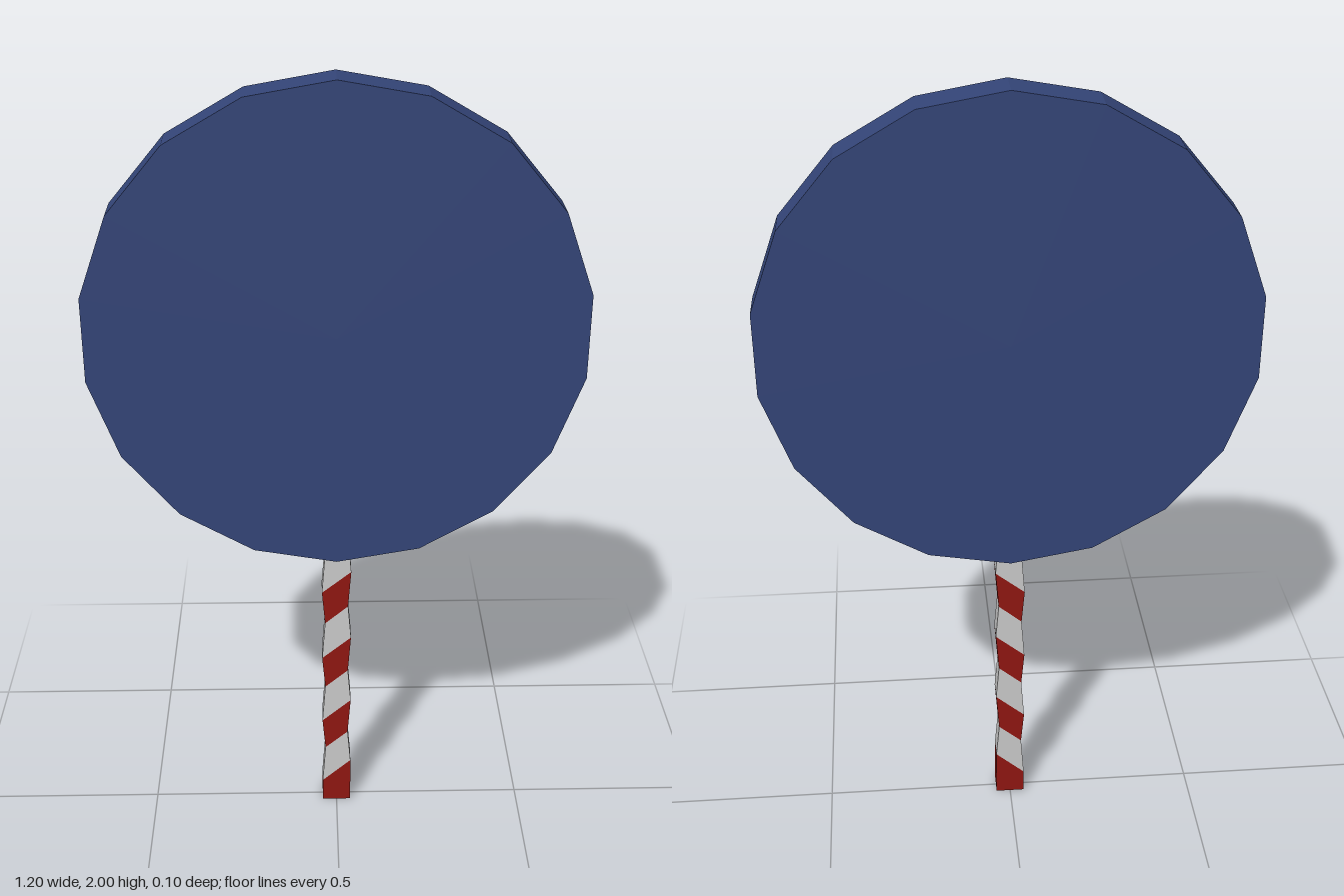
import * as THREE from 'three';

const material = (color) => new THREE.MeshStandardMaterial({ color, flatShading: true });

// Four corners of one tilted ring of the stick, counter-clockwise seen from below
function ring([leftY, rightY, w]) {
  const d = 0.028;
  return [[-w, leftY, -d], [w, rightY, -d], [w, rightY, d], [-w, leftY, d]];
}

// Walls between each pair of rings, plus an optional cap under the first
function bandGeometry(pairs, bottomCap, topCap) {
  const pos = [];
  const quad = (a, b, c, d) => pos.push(...a, ...b, ...c, ...a, ...c, ...d);
  for (const [low, high] of pairs) {
    const a = ring(low), b = ring(high);
    for (let i = 0; i < 4; i++) {
      const j = (i + 1) % 4;
      quad(a[i], b[i], b[j], a[j]);
    }
  }
  if (bottomCap) quad(...ring(pairs[0][0]));
  if (topCap) quad(...ring(pairs[pairs.length - 1][1]).reverse());
  const geometry = new THREE.BufferGeometry();
  geometry.setAttribute('position', new THREE.Float32BufferAttribute(pos, 3));
  geometry.computeVertexNormals();
  return geometry;
}

export function createModel() {
  const model = new THREE.Group();
  const add = (name, geometry, color) => {
    const mesh = new THREE.Mesh(geometry, material(color));
    mesh.name = name;
    model.add(mesh);
    return mesh;
  };

  // Round candy: an 18-sided disc with a corner at the top
  const candyGeometry = new THREE.CylinderGeometry(0.61, 0.61, 0.1, 18);
  candyGeometry.rotateX(-Math.PI / 2);
  const candy = add('candy', candyGeometry, 0x344578);
  candy.position.y = 1.39;

  // Stick rings: [y at left end, y at right end, half width], pinched under each red band
  const rings = [[0, 0, 0.038]];
  for (let i = 0; i < 4; i++) {
    rings.push([0.065 + i * 0.203, 0.133 + i * 0.201, 0.038]);
    rings.push([0.178 + i * 0.201, 0.23 + i * 0.201, 0.03]);
  }
  const bands = rings.slice(1).map((r, i) => [rings[i], r]);
  add('stickRedStripes', bandGeometry(bands.filter((_, i) => i % 2 === 0), true, false), 0x901711);
  add('stickWhiteStripes', bandGeometry(bands.filter((_, i) => i % 2 === 1), false, true), 0xcccccc);

  return model;
}
